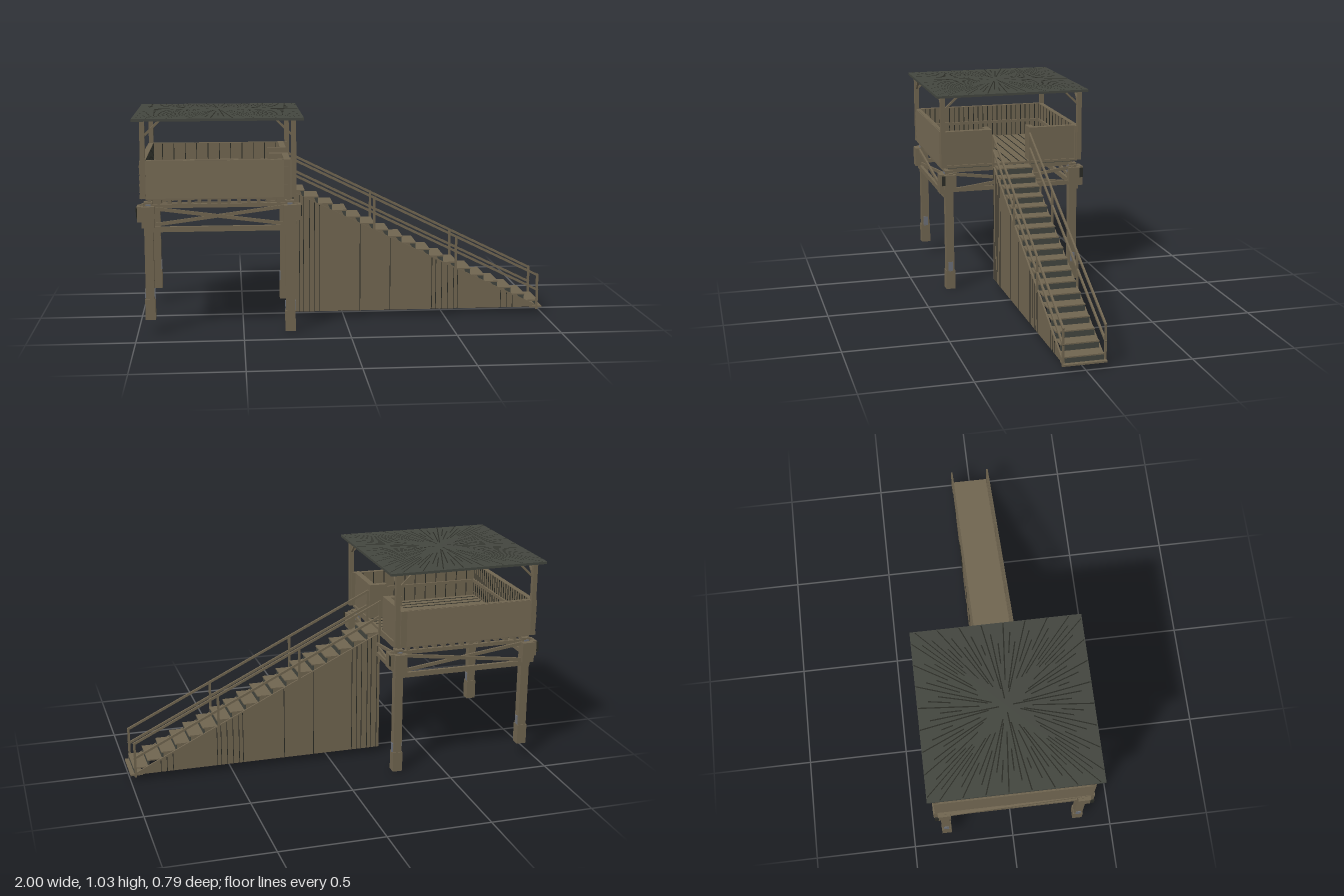
import * as THREE from 'three';

const mat = (name, color) => {
  const m = new THREE.MeshStandardMaterial({ color, side: THREE.DoubleSide });
  m.name = name;
  return m;
};

export function createModel() {
  const wood = mat('weathered wood', 0x706550);
  const dark = mat('dark roofing', 0x43463f);
  const seam = mat('seam shadow', 0x2a2b25);
  const metal = mat('grey metal', 0x6c7078);

  const root = new THREE.Group();
  root.name = 'watchtower';
  const group = (name) => {
    const g = new THREE.Group();
    g.name = name;
    root.add(g);
    return g;
  };
  const box = (parent, name, m, w, h, d, x, y, z) => {
    const mesh = new THREE.Mesh(new THREE.BoxGeometry(w, h, d), m);
    mesh.name = name;
    mesh.position.set(x, y, z);
    parent.add(mesh);
    return mesh;
  };
  // straight bar between two points: w wide, h high
  const bar = (parent, name, m, a, b, w, h = w) => {
    const A = new THREE.Vector3(...a), B = new THREE.Vector3(...b);
    const mesh = new THREE.Mesh(new THREE.BoxGeometry(w, h, A.distanceTo(B)), m);
    mesh.name = name;
    mesh.position.copy(A).add(B).multiplyScalar(0.5);
    mesh.lookAt(B);
    parent.add(mesh);
    return mesh;
  };

  const CX = -0.6075, HALF = 0.33; // tower centre and leg spacing
  const sides = [-1, 1];

  // Legs with footings, clamp blocks and metal plates
  const legs = group('legs');
  for (const sx of sides) for (const sz of sides) {
    const x = CX + sx * HALF, z = sz * HALF;
    const foot = sx < 0 ? 0.07 : 0;
    box(legs, 'footing', wood, 0.048, 0.1, 0.048, x, foot + 0.05, z);
    box(legs, 'leg', wood, 0.041, 0.53 - foot, 0.041, x, foot + 0.1 + (0.53 - foot) / 2, z);
    for (const s of sides) {
      box(legs, 'footPlate', metal, 0.004, 0.05, 0.024, x + s * 0.022, foot + 0.12, z);
      box(legs, 'topPlate', metal, 0.024, 0.04, 0.004, x, 0.6, z + s * 0.022);
    }
    box(legs, 'clampBlock', wood, 0.03, 0.075, 0.06, x + sx * 0.037, 0.575, z);
    box(legs, 'clampBlock', wood, 0.06, 0.1, 0.03, x, 0.563, z + sz * 0.036);
    box(legs, 'clampSlot', seam, 0.004, 0.05, 0.018, x + sx * 0.053, 0.585, z + sz * 0.036);
  }

  // Rails and crossed braces between the legs
  const frame = group('braceFrame');
  for (const s of sides) {
    const z = s * 0.352, x = CX + s * 0.352;
    box(frame, 'lowerRailX', wood, 0.7, 0.025, 0.016, CX, 0.503, z);
    box(frame, 'upperRailX', wood, 0.74, 0.018, 0.02, CX, 0.609, s * 0.325);
    box(frame, 'lowerRailZ', wood, 0.016, 0.022, 0.72, x, 0.53, 0);
    for (const t of sides) {
      bar(frame, 'braceX', wood, [CX - 0.345, 0.563 + t * 0.045, z + t * 0.006],
        [CX + 0.345, 0.563 - t * 0.045, z + t * 0.006], 0.01, 0.016);
      bar(frame, 'braceZ', wood, [x + t * 0.006, 0.57 + t * 0.045, -0.345],
        [x + t * 0.006, 0.57 - t * 0.045, 0.345], 0.01, 0.016);
    }
  }

  // Floor deck on joists
  const deck = group('deck');
  box(deck, 'floor', wood, 0.68, 0.012, 0.71, CX, 0.647, 0);
  box(deck, 'floorUnderside', dark, 0.67, 0.004, 0.66, CX, 0.639, 0);
  for (let i = 0; i < 15; i++)
    box(deck, 'joist', wood, 0.016, 0.025, 0.66, CX - 0.325 + i * 0.65 / 14, 0.628, 0);
  for (let i = 1; i < 16; i++)
    box(deck, 'floorSeam', seam, 0.66, 0.002, 0.004, CX, 0.654, -0.35 + i * 0.7 / 16);

  // Parapet walls: overlapping siding outside, boards with seams inside
  const walls = group('walls');
  const wall = (name, length, x, z, turn, boards) => {
    const g = new THREE.Group();
    g.name = name;
    g.position.set(x, 0.65, z);
    g.rotation.y = turn;
    walls.add(g);
    for (let i = 0; i < 6; i++)
      box(g, 'sidingBoard', wood, length, 0.031, 0.009, 0, 0.015 + i * 0.029, -0.006).rotation.x = -0.1;
    box(g, 'lining', wood, length, 0.174, 0.02, 0, 0.09, -0.019);
    for (let i = 1; i < boards; i++)
      box(g, 'liningSeam', seam, 0.004, 0.17, 0.003, -length / 2 + i * length / boards, 0.09, -0.03);
    box(g, 'innerRail', wood, length - 0.06, 0.015, 0.01, 0, 0.085, -0.034);
  };
  wall('frontWall', 0.7, CX + 0.018 - 0.018, 0.37, 0, 12);
  wall('backWall', 0.7, CX, -0.37, Math.PI, 12);
  wall('leftEndWall', 0.74, CX - 0.367, 0, -Math.PI / 2, 27);
  for (const s of sides) {
    box(walls, 'entryWall', wood, 0.03, 0.178, 0.27, -0.29, 0.738, s * 0.235);
    box(walls, 'entryJamb', wood, 0.09, 0.176, 0.03, -0.32, 0.738, s * 0.115);
  }

  // Roof posts with knee braces
  const posts = group('roofPosts');
  for (const sx of sides) for (const sz of sides) {
    const x = CX + sx * 0.349, z = sz * 0.36;
    box(posts, 'roofPost', wood, 0.023, 0.365, 0.023, x, 0.832, z);
    bar(posts, 'kneeBrace', wood, [x, 0.935, z], [x - sx * 0.08, 1.012, z], 0.01);
    bar(posts, 'kneeBrace', wood, [x, 0.935, z], [x, 1.012, z - sz * 0.08], 0.01);
  }

  // Shallow pyramid roof with radiating seams
  const roof = group('roof');
  const R = 0.395, EDGE = 1.024, PEAK = 1.033;
  box(roof, 'roofSlab', dark, 2 * R, 0.012, 2 * R, CX, 1.017, 0);
  const cap = new THREE.ConeGeometry(R * Math.SQRT2, PEAK - EDGE, 4, 1, true).toNonIndexed();
  cap.rotateY(Math.PI / 4);
  cap.computeVertexNormals();
  const capMesh = new THREE.Mesh(cap, dark);
  capMesh.name = 'roofCap';
  capMesh.position.set(CX, (EDGE + PEAK) / 2, 0);
  roof.add(capMesh);
  const pts = [];
  const starts = [0.08, 0.5, 0.3, 0.62, 0.2];
  for (let side = 0; side < 4; side++) {
    const a = side * Math.PI / 2, c = Math.cos(a), s = Math.sin(a);
    const put = (r, v) => pts.push(CX + c * r + s * v, PEAK - (PEAK - EDGE) * r / R + 0.0012, c * v - s * r);
    for (let i = 0; i < 23; i++) {
      const u = -0.95 + i * 1.9 / 22;
      const r0 = R * Math.max(starts[i % 5], Math.abs(u) * 0.45), r1 = R * (0.99 - 0.12 * (i % 3));
      const h = 0.0028;
      put(r0, u * r0 - h); put(r1, u * r1 - h); put(r1, u * r1 + h);
      put(r0, u * r0 - h); put(r1, u * r1 + h); put(r0, u * r0 + h);
    }
  }
  const seams = new THREE.BufferGeometry();
  seams.setAttribute('position', new THREE.Float32BufferAttribute(pts, 3));
  seams.computeVertexNormals();
  const seamMesh = new THREE.Mesh(seams, seam);
  seamMesh.name = 'roofSeams';
  roof.add(seamMesh);

  // Enclosed stair: clad sides, closed back, open underneath
  const stair = group('stair');
  const X0 = -0.265, X1 = 0.98, Y0 = 0.03, Y1 = 0.64;
  const slopeY = (x) => Y1 - (Y1 - Y0) * (x - X0) / (X1 - X0);
  const side = new THREE.Shape([[X0, Y0], [X1, Y0], [X1, Y0 + 0.006], [X0, Y1]]
    .map((p) => new THREE.Vector2(...p)));
  const sideGeo = new THREE.ExtrudeGeometry(side, { depth: 0.008, bevelEnabled: false });
  const seamX = [-0.25, -0.22, -0.2, -0.17, -0.145, -0.12, 0.08, 0.23, 0.44, 0.46, 0.49, 0.52, 0.55, 0.57, 0.79, 0.82, 0.85];
  for (const s of sides) {
    const m = new THREE.Mesh(sideGeo, wood);
    m.name = 'stairSide';
    m.position.z = s * 0.094 - 0.004;
    stair.add(m);
    for (const x of seamX) {
      const h = slopeY(x) - Y0 - 0.003;
      box(stair, 'sideSeam', seam, 0.003, h, 0.002, x, Y0 + h / 2, s * 0.0985);
    }
  }
  box(stair, 'stairBack', wood, 0.008, Y1 - Y0, 0.18, X0 + 0.004, (Y0 + Y1) / 2, 0);
  const N = 18, run = (X1 - X0) / N, rise = (Y1 - Y0) / N;
  for (let i = 0; i < N; i++) {
    const x = X0 + (i + 0.5) * run, y = Y1 - i * rise;
    box(stair, 'tread', wood, run + 0.006, 0.006, 0.182, x, y - 0.003, 0);
    box(stair, 'riser', dark, 0.006, rise, 0.18, x + run / 2 - 0.003, y - rise / 2 - 0.004, 0);
  }
  box(stair, 'bottomSill', wood, 0.06, 0.008, 0.2, 0.97, Y0, 0);

  // Handrails
  const rails = group('handrails');
  for (const s of sides) {
    const z = s * 0.097;
    for (const x of [-0.262, 0.15, 0.56, 0.975])
      box(rails, 'railPost', wood, 0.011, 0.18, 0.009, x, slopeY(x) + 0.075, z);
    for (const up of [0.085, 0.16])
      bar(rails, 'rail', wood, [X0, Y1 + up, z], [X1, Y0 + up, z], 0.009, 0.011);
  }
  return root;
}
